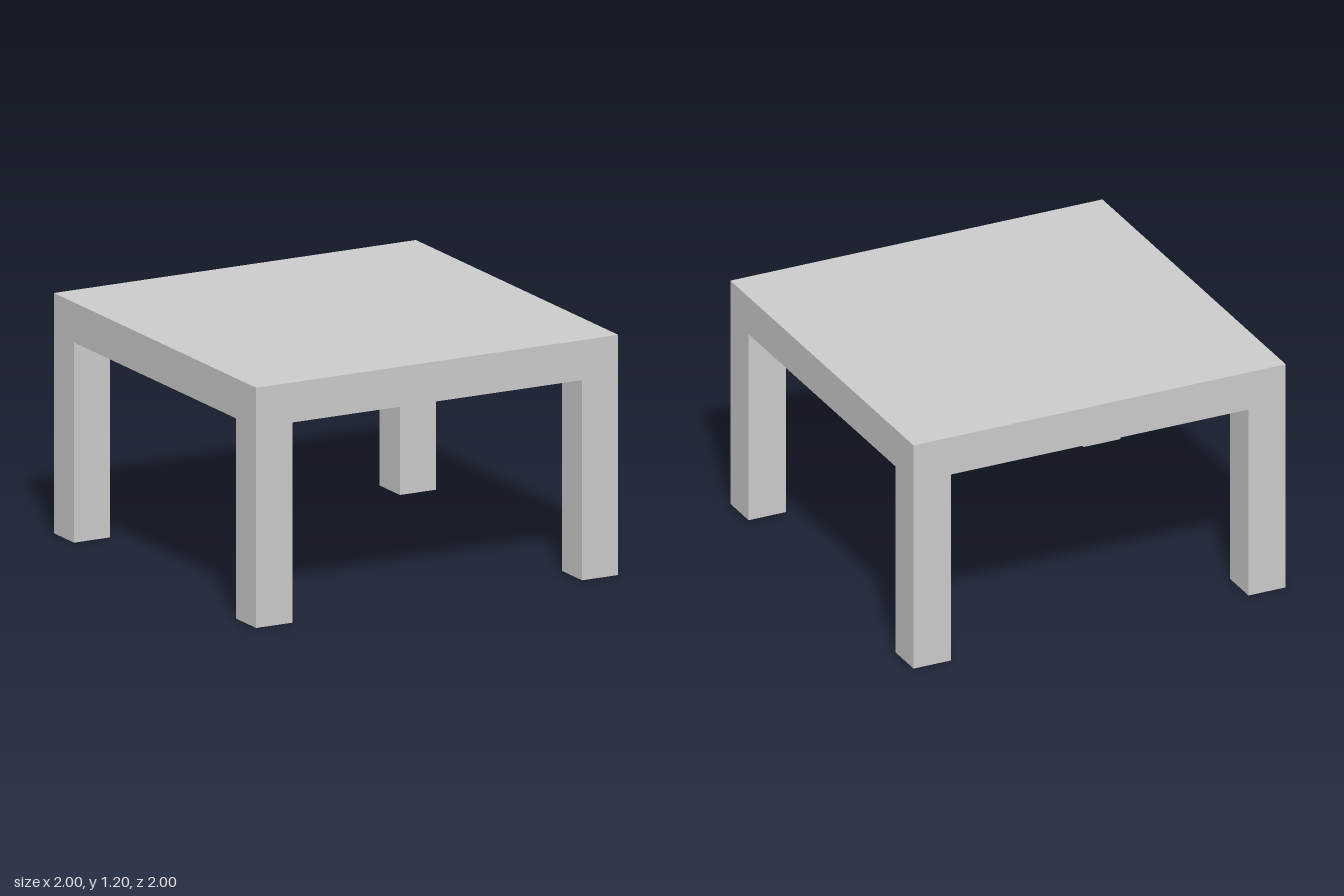
import * as THREE from 'three';

const SIZE = 2;        // width and depth of the top
const THICKNESS = 0.2; // slab thickness and leg width
const LEG_HEIGHT = 1;

export function createModel() {
  const table = new THREE.Group();
  table.name = 'table';
  const material = new THREE.MeshStandardMaterial({ color: 0xcccccc });

  // Square slab top
  const top = new THREE.Mesh(new THREE.BoxGeometry(SIZE, THICKNESS, SIZE), material);
  top.name = 'tableTop';
  top.position.y = LEG_HEIGHT + THICKNESS / 2;
  table.add(top);

  // Four square legs, flush with the corners of the top
  const legGeometry = new THREE.BoxGeometry(THICKNESS, LEG_HEIGHT, THICKNESS);
  const offset = (SIZE - THICKNESS) / 2;
  for (const [zName, z] of [['front', 1], ['back', -1]]) {
    for (const [xName, x] of [['Left', 1], ['Right', -1]]) {
      const leg = new THREE.Mesh(legGeometry, material);
      leg.name = `${zName}${xName}Leg`;
      leg.position.set(x * offset, LEG_HEIGHT / 2, z * offset);
      table.add(leg);
    }
  }

  return table;
}
